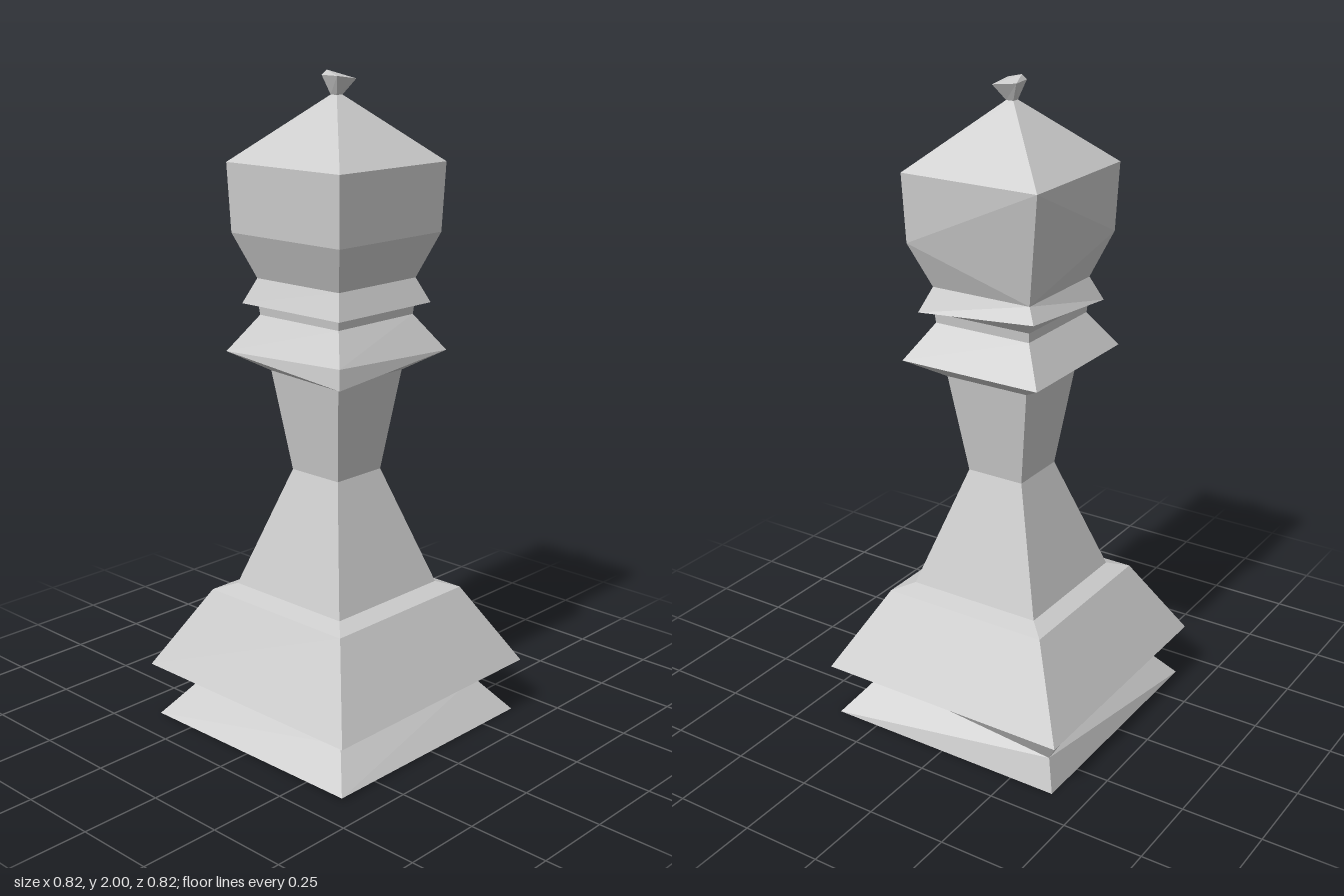
import * as THREE from 'three';

const material = new THREE.MeshStandardMaterial({ color: 0xcccccc, flatShading: true });

// Corner order, counter-clockwise seen from above
const CORNERS = [[1, 1], [1, -1], [-1, -1], [-1, 1]];

// Square cross-section; "moved" gives [y, half] for individual corners
function ring(y, half, moved = {}) {
  return CORNERS.map(([sx, sz], i) => {
    const [cy, h] = moved[i] ?? [y, half];
    return new THREE.Vector3(sx * h, cy, sz * h);
  });
}

// Skin a stack of square rings, with optional flat ends
function loft(name, rings, { bottom = false, top = false } = {}) {
  const pos = [];
  const tri = (a, b, c) => {
    if (a.equals(b) || b.equals(c) || a.equals(c)) return;
    for (const p of [a, b, c]) pos.push(p.x, p.y, p.z);
  };
  for (let r = 0; r < rings.length - 1; r++) {
    for (let i = 0; i < 4; i++) {
      const j = (i + 1) % 4;
      const a = rings[r][i], b = rings[r][j];
      const c = rings[r + 1][j], d = rings[r + 1][i];
      if (i === 1) { tri(a, b, d); tri(b, c, d); }
      else { tri(a, b, c); tri(a, c, d); }
    }
  }
  if (bottom) {
    const [a, b, c, d] = rings[0];
    tri(a, c, b); tri(a, d, c);
  }
  if (top) {
    const [a, b, c, d] = rings[rings.length - 1];
    tri(a, b, c); tri(a, c, d);
  }
  const geometry = new THREE.BufferGeometry();
  geometry.setAttribute('position', new THREE.Float32BufferAttribute(pos, 3));
  geometry.computeVertexNormals();
  const mesh = new THREE.Mesh(geometry, material);
  mesh.name = name;
  return mesh;
}

export function createModel() {
  const group = new THREE.Group();
  group.name = 'chessPiece';

  // Rings shared by neighbouring parts
  const stemFoot = ring(0.44, 0.217);
  const stemTop = ring(1.12, 0.138);
  const headFoot = ring(1.40, 0.165);
  const headTip = ring(1.93, 0.012);

  // Stepped foot, with the waist pushed out at one back corner
  group.add(loft('base', [
    ring(0, 0.395, { 3: [0.01, 0.4] }),
    ring(0.11, 0.308, { 1: [0.1, 0.368] }),
    ring(0.17, 0.412),
    ring(0.42, 0.272),
    stemFoot,
  ], { bottom: true }));

  // Tapering stem
  group.add(loft('stem', [stemFoot, ring(0.81, 0.094), stemTop]));

  // Two collar rings; one corner of the lower ring is split in two
  group.add(loft('collar', [
    stemTop,
    ring(1.18, 0.232, { 3: [1.14, 0.232] }),
    ring(1.18, 0.232, { 3: [1.2, 0.225] }),
    ring(1.29, 0.16),
    ring(1.32, 0.163),
    ring(1.325, 0.197, { 1: [1.36, 0.2] }),
    headFoot,
  ]));

  // Head with pyramid top; one corner runs straight from foot to brim
  group.add(loft('head', [
    headFoot,
    ring(1.535, 0.217, { 1: [1.40, 0.165] }),
    ring(1.74, 0.225),
    headTip,
  ]));

  // Small uneven finial
  group.add(loft('finial', [
    headTip,
    ring(1.975, 0.04, { 1: [1.985, 0.04], 2: [1.985, 0.03], 3: [1.985, 0.038] }),
    ring(1.975, 0.04, { 1: [1.985, 0.04], 2: [2, 0.02], 3: [1.985, 0.038] }),
  ], { top: true }));

  return group;
}
